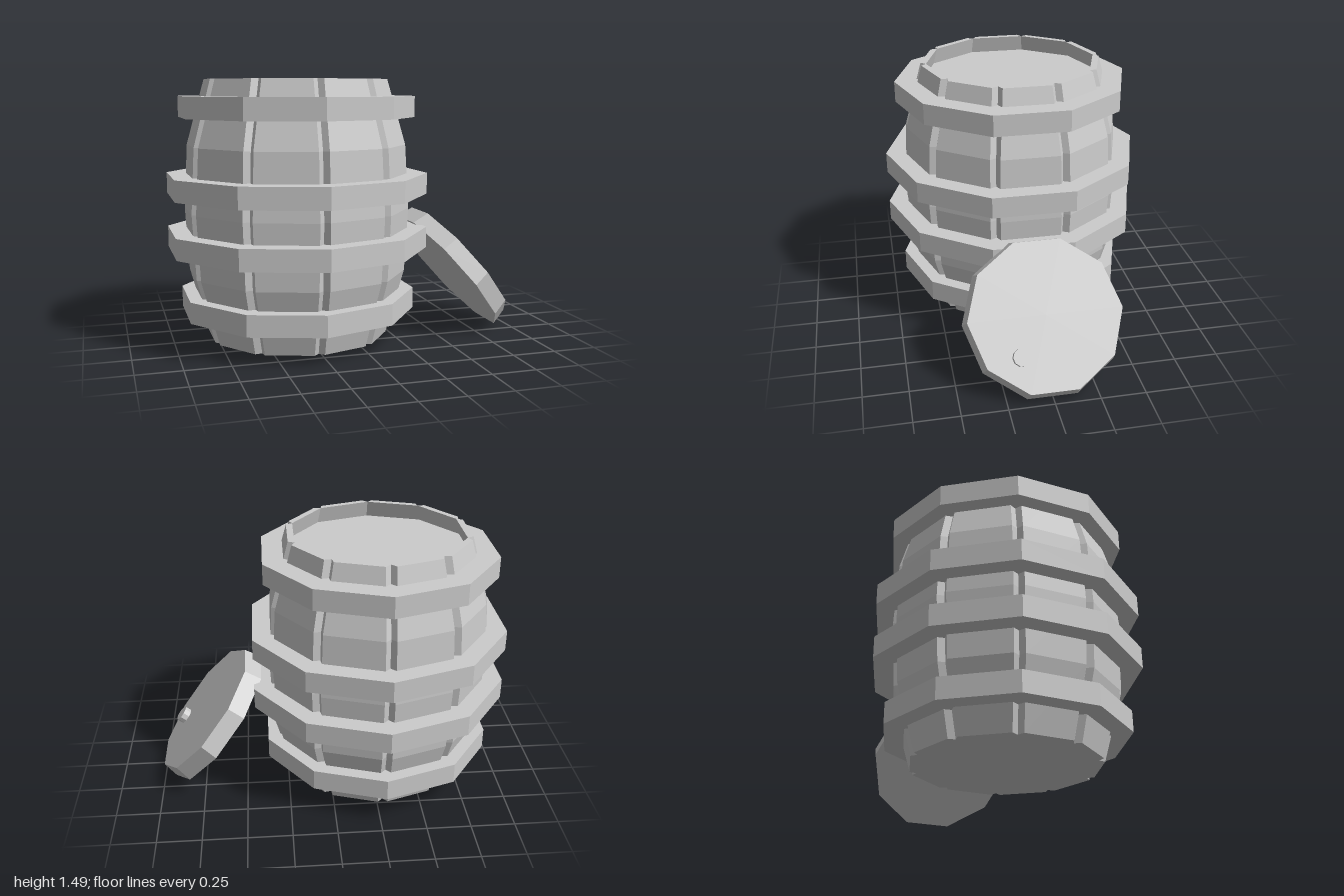
import * as THREE from 'three';

const SIDES = 10;
const C = Math.cos(Math.PI / SIDES);
const T = Math.tan(Math.PI / SIDES);
const material = new THREE.MeshStandardMaterial({ color: 0xcccccc, flatShading: true });

function part(name, geometry, parent, x = 0, y = 0, z = 0) {
  const mesh = new THREE.Mesh(geometry, material);
  mesh.name = name;
  mesh.position.set(x, y, z);
  parent.add(mesh);
  return mesh;
}

// One bowed stave facing +z: a wedge-sided cross-section lofted through rows of [y, distance from axis]
function staveGeometry(rows, thickness, gap) {
  const pos = [], index = [];
  for (const [y, d] of rows) {
    const inner = d - thickness;
    const wi = inner * T, wo = d * T - gap;
    pos.push(-wi, y, inner, -wo, y, d, wo, y, d, wi, y, inner);
  }
  for (let r = 0; r < rows.length - 1; r++) {
    for (let k = 0; k < 4; k++) {
      const a = r * 4 + k, b = r * 4 + (k + 1) % 4;
      index.push(a, b, b + 4, a, b + 4, a + 4);
    }
  }
  const t = (rows.length - 1) * 4;
  index.push(0, 2, 1, 0, 3, 2, t, t + 1, t + 2, t, t + 2, t + 3);
  const g = new THREE.BufferGeometry();
  g.setAttribute('position', new THREE.Float32BufferAttribute(pos, 3));
  g.setIndex(index);
  const flat = g.toNonIndexed();
  flat.computeVertexNormals();
  return flat;
}

// Ten-sided ring with a rectangular section
function hoopGeometry(outer, inner, height) {
  const h = height / 2;
  const section = [[inner, -h], [outer, -h], [outer, h], [inner, h], [inner, -h]];
  return new THREE.LatheGeometry(section.map(([r, y]) => new THREE.Vector2(r, y)), SIDES);
}

export function createModel() {
  const model = new THREE.Group();
  model.name = 'barrelWithLid';

  const barrel = new THREE.Group();
  barrel.name = 'barrel';
  barrel.position.x = -0.28;
  model.add(barrel);

  // Staves
  const rows = [[0.03, 0.505], [0.4, 0.605], [0.765, 0.625], [1.13, 0.605], [1.5, 0.505]];
  const stave = staveGeometry(rows, 0.036, 0.03);
  for (let i = 0; i < SIDES; i++) {
    part('stave', stave, barrel).rotation.y = (i + 0.5) * Math.PI * 2 / SIDES;
  }

  // Hoops
  for (const [y, r] of [[0.23, 0.68], [0.59, 0.755], [0.905, 0.755], [1.345, 0.68]]) {
    part('hoop', hoopGeometry(r, 0.5, 0.12), barrel, 0, y, 0);
  }

  // Flush base and recessed contents surface
  part('base', new THREE.CylinderGeometry(0.495, 0.469 / C, 0.04, SIDES), barrel, 0, 0.05, 0);
  part('innerTop', new THREE.CylinderGeometry(0.52, 0.52, 0.04, SIDES), barrel, 0, 1.385, 0);

  // Loose lid leaning against the side
  const lid = new THREE.Group();
  lid.name = 'lid';
  lid.position.set(0.705, 0.367, 0);
  lid.rotation.z = -0.883;
  model.add(lid);
  part('lidPanel', new THREE.CylinderGeometry(0.425, 0.445, 0.103, SIDES), lid);
  part('lidKnob', new THREE.CylinderGeometry(0.048, 0.048, 0.06, SIDES), lid, 0.207, 0.061, 0.16);

  return model;
}
